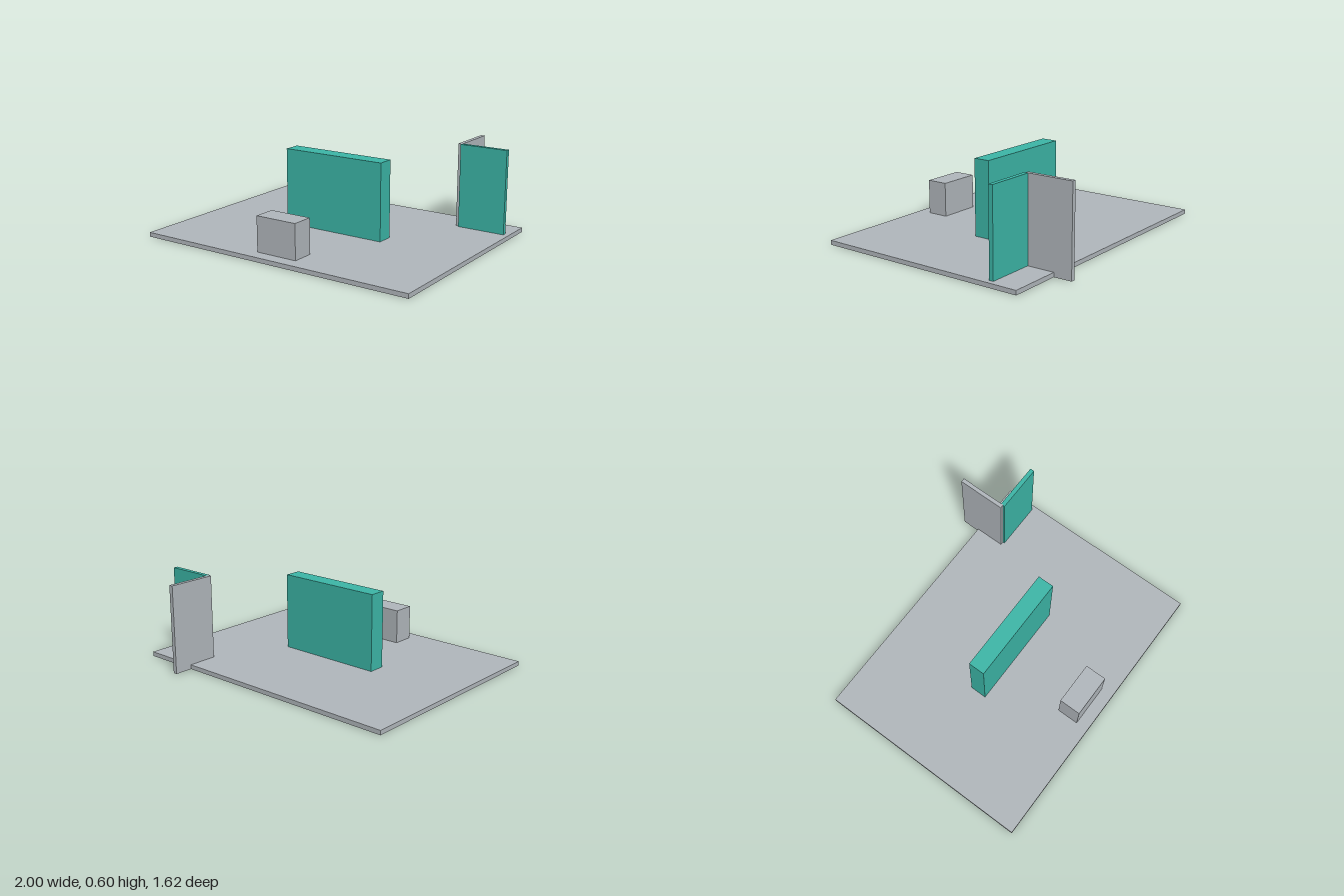
import * as THREE from 'three';

export function createModel() {
  const group = new THREE.Group();
  const grey = new THREE.MeshStandardMaterial({ name: 'pale grey', color: 0xb1b7bc });
  const teal = new THREE.MeshStandardMaterial({ name: 'teal', color: 0x3cb6a7 });

  // Box given by its extents along each axis
  function box(name, material, [x0, x1], [y0, y1], [z0, z1]) {
    const mesh = new THREE.Mesh(new THREE.BoxGeometry(x1 - x0, y1 - y0, z1 - z0), material);
    mesh.position.set((x0 + x1) / 2, (y0 + y1) / 2, (z0 + z1) / 2);
    mesh.name = name;
    group.add(mesh);
  }

  // Floor slab
  box('floor', grey, [-1, 1], [0, 0.03], [-0.687, 0.812]);

  // Central wall and the low block before it, set slightly into the floor
  box('centreWall', teal, [-0.375, 0.375], [0.005, 0.553], [0.006, 0.12]);
  box('frontBlock', grey, [-0.149, 0.149], [0.005, 0.267], [0.575, 0.725]);

  // Corner screen: a front panel and a side panel overhanging the back edge
  box('screenFrontPanel', teal, [0.63, 0.965], [0.005, 0.6], [-0.497, -0.467]);
  box('screenSidePanel', grey, [0.607, 0.635], [0, 0.601], [-0.812, -0.48]);

  return group;
}
